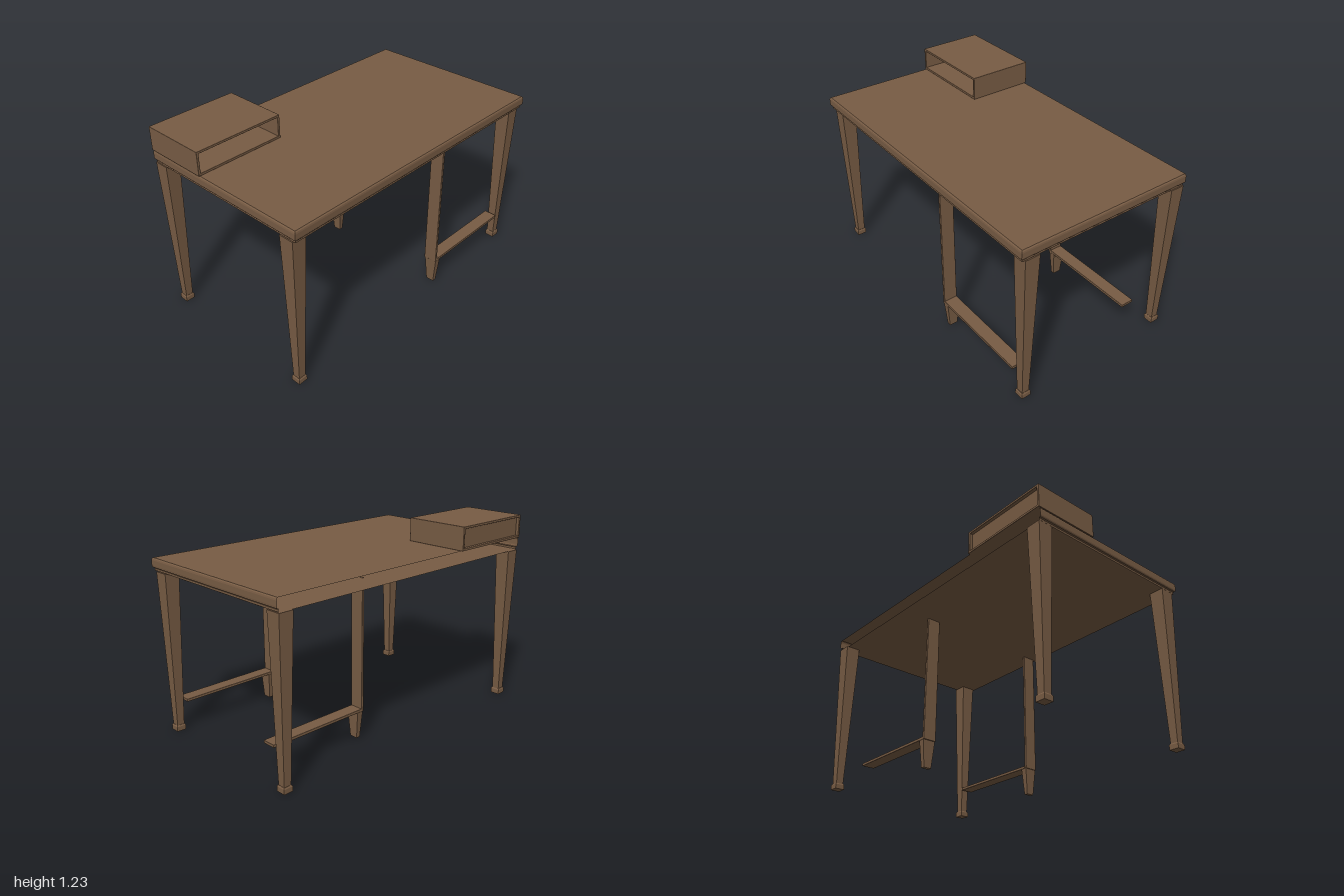
import * as THREE from 'three';
import { RoundedBoxGeometry } from 'three/addons/geometries/RoundedBoxGeometry.js';

const wood = new THREE.MeshStandardMaterial({ color: 0x785c44, side: THREE.DoubleSide });

function add(parent, name, geometry, x = 0, y = 0, z = 0) {
  const mesh = new THREE.Mesh(geometry, wood);
  mesh.name = name;
  mesh.position.set(x, y, z);
  parent.add(mesh);
  return mesh;
}

// Board given by its limits, with slightly eased edges
function board(parent, name, x0, x1, y0, y1, z0, z1) {
  const geometry = new RoundedBoxGeometry(x1 - x0, y1 - y0, z1 - z0, 1, 0.003);
  return add(parent, name, geometry, (x0 + x1) / 2, (y0 + y1) / 2, (z0 + z1) / 2);
}

// Square post that narrows towards the bottom; its base is at y = 0
function taperedPost(height, topX, topZ, bottomX, bottomZ) {
  const geometry = new THREE.BoxGeometry(topX, height, topZ).translate(0, height / 2, 0).toNonIndexed();
  const p = geometry.attributes.position;
  for (let i = 0; i < p.count; i++) {
    if (p.getY(i) < height / 2) {
      p.setX(i, Math.sign(p.getX(i)) * bottomX / 2);
      p.setZ(i, Math.sign(p.getZ(i)) * bottomZ / 2);
    }
  }
  geometry.computeVertexNormals();
  return geometry;
}

// Hollow desktop with a moulded rim on three sides and an open back
function desktopGeometry() {
  // inset from the outer edge, height
  const profile = [[0.019, 1.0], [0.012, 1.004], [0.012, 1.016], [0.017, 1.02],
    [0.006, 1.021], [0.001, 1.027], [0, 1.035], [0, 1.065], [0.002, 1.074], [0.008, 1.08]];
  const rings = profile.map(([inset, y]) => {
    const x = 1 - inset, front = 0.577 - inset, back = -0.569 + inset * 0.4;
    return [[-x, y, back], [-x, y, front], [x, y, front], [x, y, back]];
  });
  const positions = [];
  const quad = (a, b, c, d) => positions.push(...a, ...b, ...c, ...a, ...c, ...d);
  for (let r = 0; r < rings.length - 1; r++) {
    const low = rings[r], high = rings[r + 1];
    for (let i = 0; i < 3; i++) quad(low[i], low[i + 1], high[i + 1], high[i]);
  }
  quad(...rings[rings.length - 1]);
  quad(...[...rings[0]].reverse());
  const geometry = new THREE.BufferGeometry();
  geometry.setAttribute('position', new THREE.Float32BufferAttribute(positions, 3));
  geometry.computeVertexNormals();
  return geometry;
}

export function createModel() {
  const desk = new THREE.Group();
  desk.name = 'desk';
  add(desk, 'desktop', desktopGeometry());

  // Four tapered legs with small block feet
  for (const x of [-0.945, 0.945]) {
    for (const z of [-0.523, 0.499]) {
      const leg = new THREE.Group();
      leg.name = z > 0 ? 'frontLeg' : 'backLeg';
      leg.position.set(x, 0, z);
      add(leg, 'legPost', taperedPost(0.965, 0.092, 0.094, 0.047, 0.047), 0, 0.035, 0);
      add(leg, 'legFootBevel', taperedPost(0.008, 0.05, 0.05, 0.06, 0.06), 0, 0.029, 0);
      add(leg, 'legFoot', new THREE.BoxGeometry(0.06, 0.029, 0.06), 0, 0.0145, 0);
      desk.add(leg);
    }
  }

  // Two side frames: upright board, low rail and short tapered foot
  for (const z of [-0.337, 0.499]) {
    const frame = new THREE.Group();
    frame.name = z > 0 ? 'frontFrame' : 'backFrame';
    frame.position.z = z;
    board(frame, 'upright', 0.219, 0.235, 0.18, 1.002, -0.044, 0.044);
    board(frame, 'rail', 0.22, 0.9, 0.18, 0.198, -0.043, 0.043);
    add(frame, 'frameFoot', taperedPost(0.17, 0.042, 0.084, 0.026, 0.052), 0.245, 0.01, 0);
    desk.add(frame);
  }

  // Open-fronted box on the desktop
  const box = new THREE.Group();
  box.name = 'topBox';
  const [x0, x1, y0, y1, z0, z1, t] = [-1, -0.415, 1.08, 1.228, -0.577, -0.155, 0.015];
  board(box, 'boxBottom', x0, x1, y0, y0 + t, z0, z1);
  board(box, 'boxTop', x0, x1, y1 - t, y1, z0, z1);
  board(box, 'boxRightSide', x0, x0 + t, y0, y1, z0, z1);
  board(box, 'boxLeftSide', x1 - t, x1, y0, y1, z0, z1);
  board(box, 'boxBack', x0 + 0.01, x1 - 0.01, y0 + 0.01, y1 - 0.01, z0 + 0.02, z0 + 0.03);
  desk.add(box);

  return desk;
}
